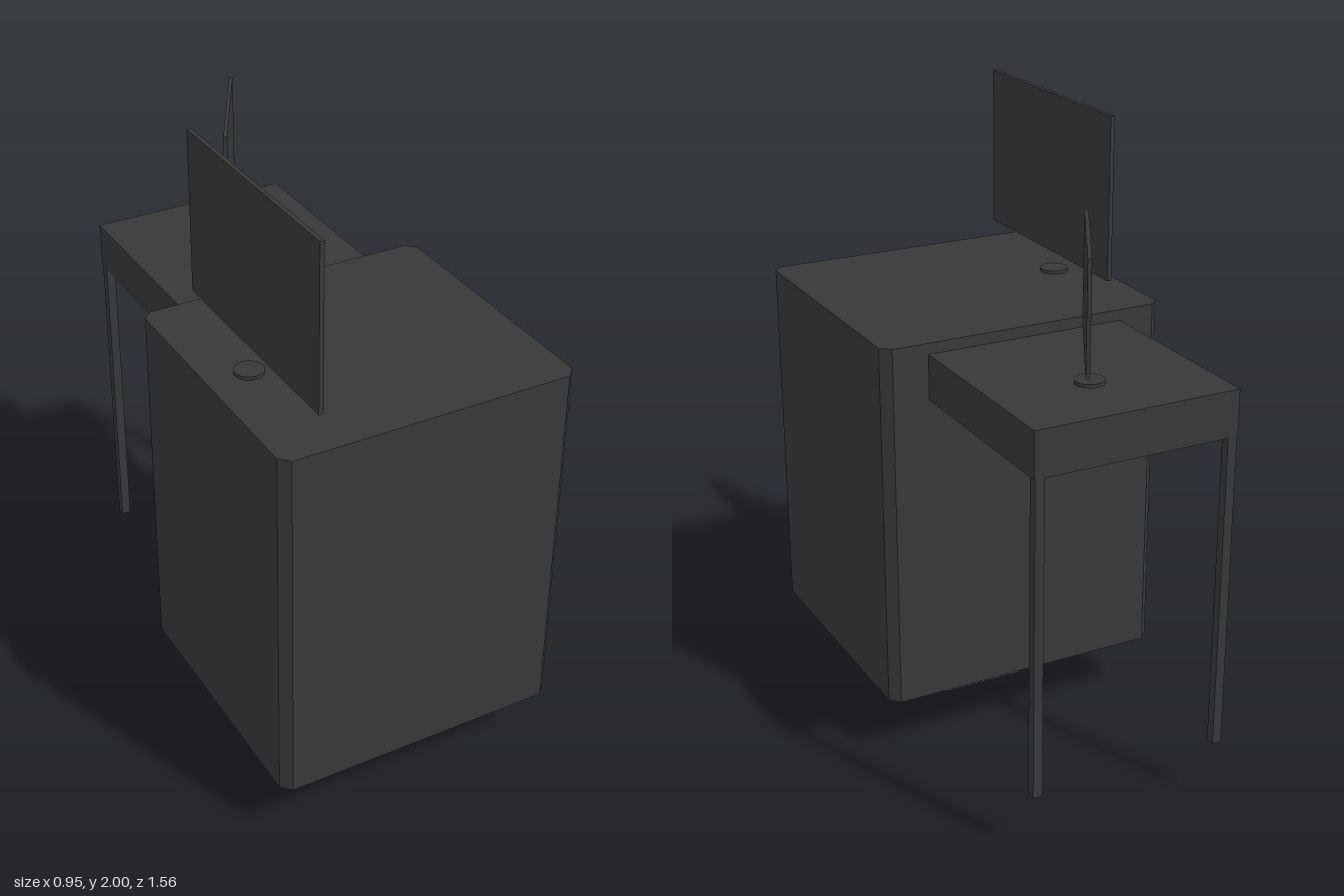
import * as THREE from 'three';

export function createModel() {
  const model = new THREE.Group();
  const dark = new THREE.MeshStandardMaterial({ color: 0x383838 });
  dark.name = 'charcoal';
  const light = new THREE.MeshStandardMaterial({ color: 0xc0c0c0 });
  light.name = 'light grey';

  const add = (name, geometry, material, x, y, z) => {
    const mesh = new THREE.Mesh(geometry, material);
    mesh.name = name;
    mesh.position.set(x, y, z);
    model.add(mesh);
    return mesh;
  };
  // Box given by its lower and upper limits on each axis
  const box = (name, material, x0, x1, y0, y1, z0, z1) =>
    add(name, new THREE.BoxGeometry(x1 - x0, y1 - y0, z1 - z0), material,
      (x0 + x1) / 2, (y0 + y1) / 2, (z0 + z1) / 2);

  // Cabinet: rectangle with cut corners, extruded upwards
  const w = 0.477, d = 0.45, c = 0.03;
  const outline = new THREE.Shape([
    [-w + c, -d], [w - c, -d], [w, -d + c], [w, d - c],
    [w - c, d], [-w + c, d], [-w, d - c], [-w, -d + c],
  ].map(([x, y]) => new THREE.Vector2(x, y)));
  const cabinet = new THREE.ExtrudeGeometry(outline, { depth: 1.195, bevelEnabled: false });
  cabinet.rotateX(-Math.PI / 2);
  add('cabinet', cabinet, dark, 0, 0.21, 0.33);

  // Pedestal under the cabinet
  box('pedestal', light, -0.142, 0.142, 0, 0.21, 0.193, 0.475);

  // Side table behind, on two slim legs
  box('tableTop', dark, -0.33, 0.33, 1.225, 1.37, -0.78, -0.12);
  for (const s of [-1, 1]) {
    box(s > 0 ? 'leftLeg' : 'rightLeg', dark,
      s * 0.312 - 0.015, s * 0.312 + 0.015, 0.207, 1.225, -0.78, -0.75);
  }

  // Floating screens above flat round bases
  box('largeScreen', dark, -0.334, -0.32, 1.48, 2, -0.055, 0.72);
  const small = box('smallScreen', dark, 0.027, 0.039, 1.47, 1.81, -0.769, -0.303);
  small.rotation.y = -0.502;
  const disc = new THREE.CylinderGeometry(0.045, 0.045, 0.011, 32);
  add('largeScreenBase', disc, dark, -0.342, 1.4105, 0.328);
  add('smallScreenBase', disc, dark, 0.022, 1.3755, -0.54);

  return model;
}
